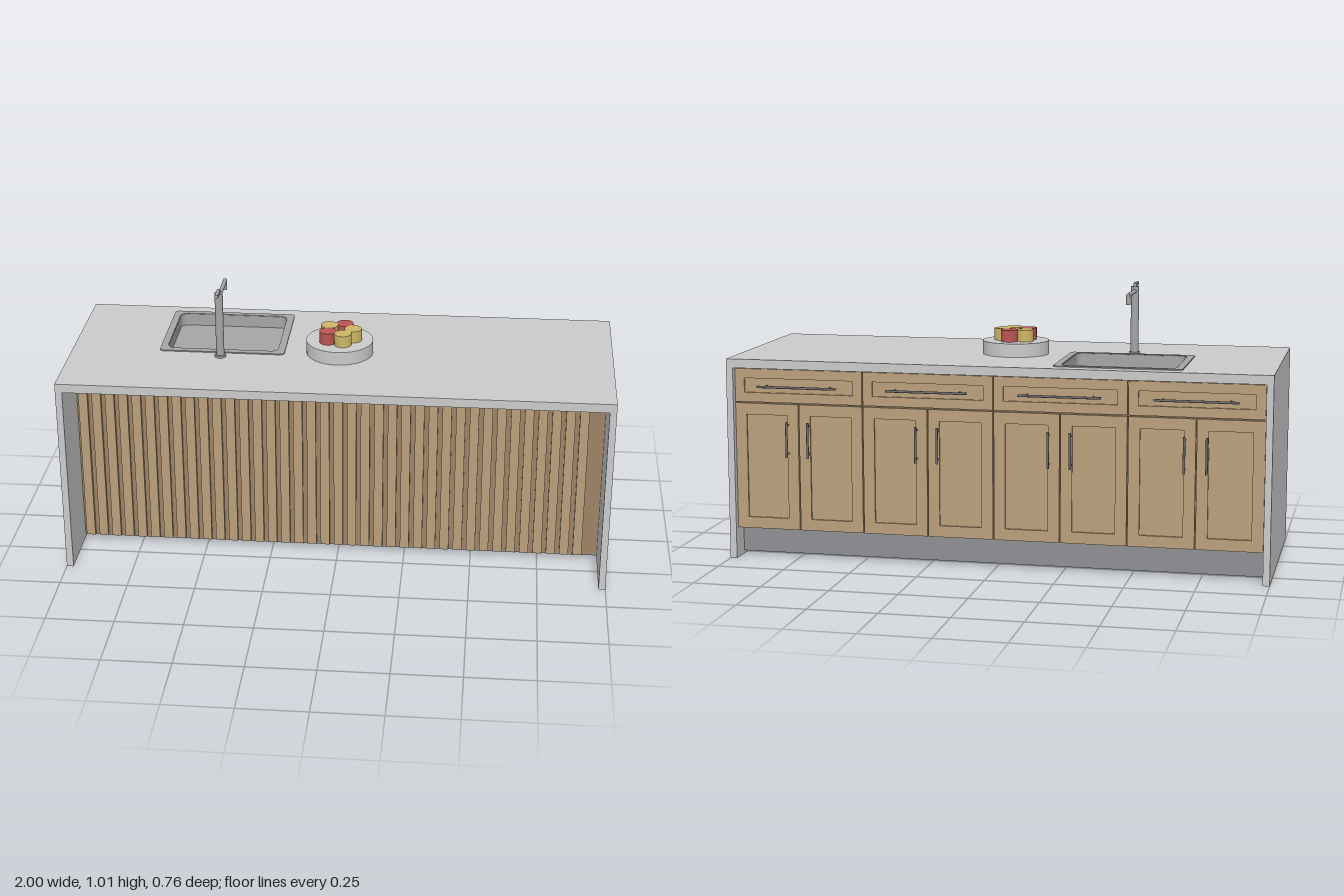
import * as THREE from 'three';

const mat = (color) => new THREE.MeshStandardMaterial({ color });
const stone = mat(0xcccccc);
const wood = mat(0xbaa07c);
const darkWood = mat(0x9c8466);
const plinthGrey = mat(0x8e9093);
const steel = mat(0xa6a6a6);
const handleGrey = mat(0x6c6c6c);
const yellow = mat(0xcdb866);
const red = mat(0xbb5555);

const BACK = -0.371, FRONT = 0.379, H = 0.75, TOP = 0.717, INNER = 0.975;

function add(parent, name, geometry, material, x = 0, y = 0, z = 0) {
  const mesh = new THREE.Mesh(geometry, material);
  mesh.name = name;
  mesh.position.set(x, y, z);
  parent.add(mesh);
  return mesh;
}

// Box given by its minimum and maximum corners
function box(parent, name, material, [x0, y0, z0], [x1, y1, z1]) {
  return add(parent, name, new THREE.BoxGeometry(x1 - x0, y1 - y0, z1 - z0), material,
    (x0 + x1) / 2, (y0 + y1) / 2, (z0 + z1) / 2);
}

// Rod between two points
function rod(parent, name, material, a, b, r, sides = 12) {
  const p = new THREE.Vector3(...a), q = new THREE.Vector3(...b);
  const mesh = add(parent, name, new THREE.CylinderGeometry(r, r, p.distanceTo(q), sides), material);
  mesh.position.copy(p).lerp(q, 0.5);
  mesh.quaternion.setFromUnitVectors(new THREE.Vector3(0, 1, 0), q.sub(p).normalize());
  return mesh;
}

// Rounded rectangle outline, usable as shape or hole
function roundRect(Type, x0, y0, x1, y1, r) {
  const s = new Type();
  s.moveTo(x0 + r, y0);
  s.lineTo(x1 - r, y0);
  s.absarc(x1 - r, y0 + r, r, -Math.PI / 2, 0);
  s.lineTo(x1, y1 - r);
  s.absarc(x1 - r, y1 - r, r, 0, Math.PI / 2);
  s.lineTo(x0 + r, y1);
  s.absarc(x0 + r, y1 - r, r, Math.PI / 2, Math.PI);
  s.lineTo(x0, y0 + r);
  s.absarc(x0 + r, y0 + r, r, Math.PI, Math.PI * 1.5);
  return s;
}

function rect(Type, x0, y0, x1, y1) {
  return new Type([[x0, y0], [x1, y0], [x1, y1], [x0, y1]].map((p) => new THREE.Vector2(...p)));
}

// Flat plate lying in the xz plane: shape y becomes -z, thickness rises from y
function plate(parent, name, material, shape, y, thickness) {
  const g = new THREE.ExtrudeGeometry(shape, { depth: thickness, bevelEnabled: false, curveSegments: 8 });
  g.rotateX(-Math.PI / 2);
  return add(parent, name, g, material, 0, y, 0);
}

// Framed cabinet front with a recessed panel, facing -z
function shakerFront(parent, name, x0, y0, x1, y1, border) {
  const group = new THREE.Group();
  group.name = name;
  const shape = rect(THREE.Shape, x0, y0, x1, y1);
  shape.holes.push(rect(THREE.Path, x0 + border, y0 + border, x1 - border, y1 - border));
  add(group, 'frontFrame', new THREE.ExtrudeGeometry(shape, { depth: 0.014, bevelEnabled: false }), wood, 0, 0, -0.352);
  box(group, 'recessedPanel', wood, [x0 + border, y0 + border, -0.345], [x1 - border, y1 - border, -0.338]);
  parent.add(group);
}

// Bar handle with two posts along the direction (dx, dy)
function handle(parent, name, x, y, dx, dy) {
  const group = new THREE.Group();
  group.name = name;
  const z = -0.3745, r = 0.0045;
  rod(group, 'bar', handleGrey, [x - dx, y - dy, z], [x + dx, y + dy, z], r);
  for (const s of [-0.8, 0.8]) {
    rod(group, 'post', handleGrey, [x + dx * s, y + dy * s, z], [x + dx * s, y + dy * s, -0.345], 0.0035, 8);
  }
  parent.add(group);
}

export function createModel() {
  const model = new THREE.Group();
  model.name = 'kitchenIsland';

  // Counter with sink cut-out and waterfall sides
  const opening = [-0.65, -0.03, -0.235, 0.30];
  const counter = rect(THREE.Shape, -1, -FRONT, 1, -BACK);
  counter.holes.push(roundRect(THREE.Path, ...opening, 0.03));
  plate(model, 'countertop', stone, counter, TOP, H - TOP);
  for (const s of [-1, 1]) {
    box(model, 'sidePanel', stone,
      [s < 0 ? -1 : INNER, 0, BACK], [s < 0 ? -INNER : 1, TOP, FRONT]);
  }

  // Carcass, recessed plinth and slatted front
  box(model, 'carcass', darkWood, [-INNER, 0.115, -0.339], [INNER, 0.69, 0.14]);
  box(model, 'plinth', plinthGrey, [-INNER, 0.012, -0.29], [INNER, 0.115, 0.15]);
  box(model, 'backingPanel', darkWood, [-INNER, 0.02, 0.14], [INNER, TOP, 0.152]);
  const slats = new THREE.Group();
  slats.name = 'slats';
  for (let i = 0; i < 38; i++) {
    const x = -0.95 + i * 0.05;
    box(slats, 'slat', wood, [x - 0.0167, 0.02, 0.15], [x + 0.0167, TOP, 0.167]);
  }
  model.add(slats);

  // Four cabinets at the back: a drawer over a pair of doors
  const unit = (2 * INNER) / 4, gap = 0.002;
  for (let i = 0; i < 4; i++) {
    const cabinet = new THREE.Group();
    cabinet.name = 'cabinet';
    const x = -INNER + unit * (i + 0.5), half = unit / 2 - gap;
    shakerFront(cabinet, 'drawer', x - half, 0.59, x + half, 0.713, 0.035);
    handle(cabinet, 'drawerHandle', x, 0.65, 0.15, 0);
    for (const s of [-1, 1]) {
      const a = x + s * gap, b = x + s * half;
      shakerFront(cabinet, 'door', Math.min(a, b), 0.115, Math.max(a, b), 0.585, 0.042);
      handle(cabinet, 'doorHandle', x + s * 0.04, 0.456, 0, 0.066);
    }
    model.add(cabinet);
  }

  // Sink: raised rim, basin wall and floor
  const sink = new THREE.Group();
  sink.name = 'sink';
  const rim = roundRect(THREE.Shape, -0.675, -0.055, -0.21, 0.322, 0.015);
  rim.holes.push(roundRect(THREE.Path, ...opening, 0.03));
  plate(sink, 'sinkRim', steel, rim, H, 0.004);
  const [x0, y0, x1, y1] = opening;
  const wall = roundRect(THREE.Shape, x0 - 0.005, y0 - 0.005, x1 + 0.005, y1 + 0.005, 0.035);
  const inner = [x0 + 0.002, y0 + 0.002, x1 - 0.002, y1 - 0.002, 0.028];
  wall.holes.push(roundRect(THREE.Path, ...inner));
  plate(sink, 'basinWall', steel, wall, 0.702, 0.05);
  plate(sink, 'basinFloor', steel, roundRect(THREE.Shape, ...inner), 0.702, 0.004);
  model.add(sink);

  // Tap: column, spout, nozzle and lever
  const tap = new THREE.Group();
  tap.name = 'tap';
  const tx = -0.443, tz = 0.084;
  rod(tap, 'tapBase', steel, [tx, H, tz], [tx, 0.758, tz], 0.021, 24);
  rod(tap, 'tapColumn', steel, [tx, H, tz], [tx, 1.002, tz], 0.015, 24);
  rod(tap, 'spout', steel, [tx, 0.984, tz], [tx, 0.984, -0.084], 0.0075, 16);
  rod(tap, 'nozzle', steel, [tx, 0.95, -0.077], [tx, 0.985, -0.077], 0.008, 16);
  box(tap, 'lever', steel, [tx - 0.006, 1.002, 0.08], [tx + 0.006, 1.014, 0.14]);
  model.add(tap);

  // Fruit stand with five short round fruits
  const fruitStand = new THREE.Group();
  fruitStand.name = 'fruitStand';
  fruitStand.position.set(-0.008, 0, 0.004);
  add(fruitStand, 'stand', new THREE.CylinderGeometry(0.124, 0.124, 0.05, 40), stone, 0, H + 0.025, 0);
  [yellow, yellow, red, yellow, red].forEach((m, i) => {
    const a = (i * Math.PI * 2) / 5;
    add(fruitStand, 'fruit', new THREE.CylinderGeometry(0.032, 0.032, 0.044, 20), m,
      Math.cos(a) * 0.05, 0.822, Math.sin(a) * 0.05);
  });
  model.add(fruitStand);

  return model;
}
